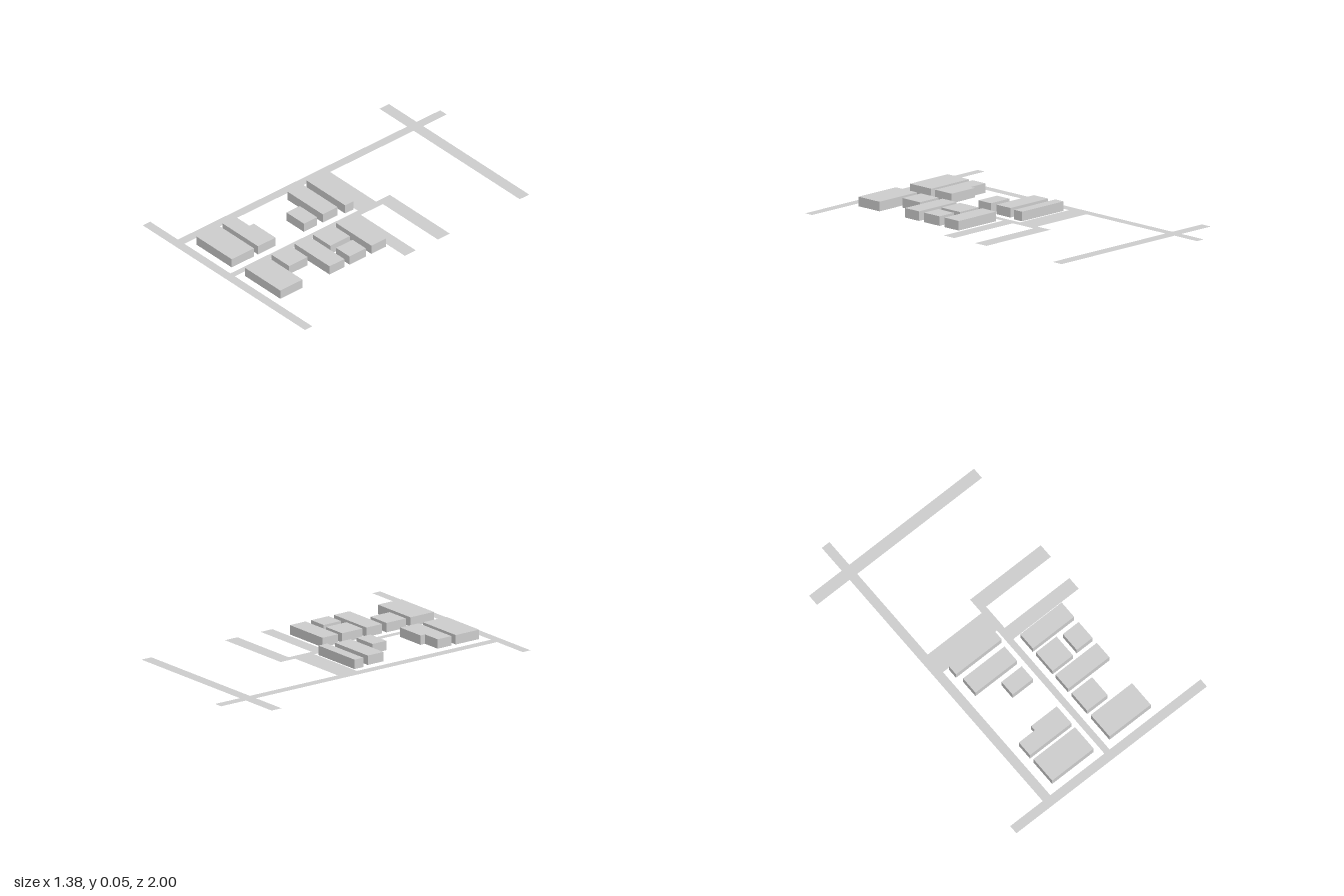
import * as THREE from 'three';

const HEIGHT = 0.055;

// Plan outlines are given as [x, z] corners
const outline = (points) => points.map(([x, z]) => new THREE.Vector2(x, -z));
const rect = (x0, x1, z0, z1) => [[x0, z0], [x1, z0], [x1, z1], [x0, z1]];

export function createModel() {
  const model = new THREE.Group();
  const wall = new THREE.MeshStandardMaterial({ color: 0xcccccc, flatShading: true });
  const paving = new THREE.MeshStandardMaterial({ color: 0xcccccc, side: THREE.DoubleSide });

  // Flat street network with a courtyard block enclosed by the streets
  const streets = new THREE.Shape(outline([
    [-0.455, -1], [-0.4, -1],
    // north street, east arm
    [-0.4, -0.825], [0.5, -0.825], [0.5, -0.755], [-0.4, -0.755],
    // plaza and upper side street
    [-0.4, -0.135], [-0.01, -0.135], [-0.01, -0.237], [0.5, -0.237], [0.5, -0.148], [0.033, -0.148],
    // lower side street
    [0.033, 0.015], [0.5, 0.015], [0.5, 0.097], [0.028, 0.097],
    // south street
    [0.028, 0.945], [0.685, 0.945], [0.685, 1], [-0.69, 1], [-0.69, 0.945], [-0.455, 0.945],
    // north street, west arm
    [-0.455, -0.755], [-0.69, -0.755], [-0.69, -0.825], [-0.455, -0.825],
  ]));
  streets.holes.push(new THREE.Path(outline(rect(-0.4, -0.01, 0, 0.945))));
  const streetMesh = new THREE.Mesh(new THREE.ShapeGeometry(streets).rotateX(-Math.PI / 2), paving);
  streetMesh.name = 'streets';
  model.add(streetMesh);

  // Flat-roofed buildings in two rows, from north to south
  const rows = {
    westBuilding: [
      rect(-0.365, -0.035, 0.01, 0.072),
      rect(-0.35, -0.05, 0.115, 0.225),
      rect(-0.197, -0.05, 0.267, 0.365),
      [[-0.35, 0.607], [-0.235, 0.607], [-0.235, 0.575], [-0.05, 0.575], [-0.05, 0.705], [-0.35, 0.705]],
      rect(-0.35, -0.05, 0.735, 0.9),
    ],
    eastBuilding: [
      rect(0.064, 0.362, 0.115, 0.225),
      rect(0.064, 0.212, 0.253, 0.398),
      rect(0.248, 0.362, 0.265, 0.387),
      rect(0.064, 0.362, 0.425, 0.535),
      rect(0.064, 0.212, 0.566, 0.703),
      rect(0.064, 0.362, 0.735, 0.9),
    ],
  };
  for (const [name, plans] of Object.entries(rows)) {
    plans.forEach((plan, i) => {
      const geometry = new THREE.ExtrudeGeometry(new THREE.Shape(outline(plan)), { depth: HEIGHT, bevelEnabled: false });
      const mesh = new THREE.Mesh(geometry.rotateX(-Math.PI / 2), wall);
      mesh.name = `${name}${i + 1}`;
      model.add(mesh);
    });
  }
  return model;
}
